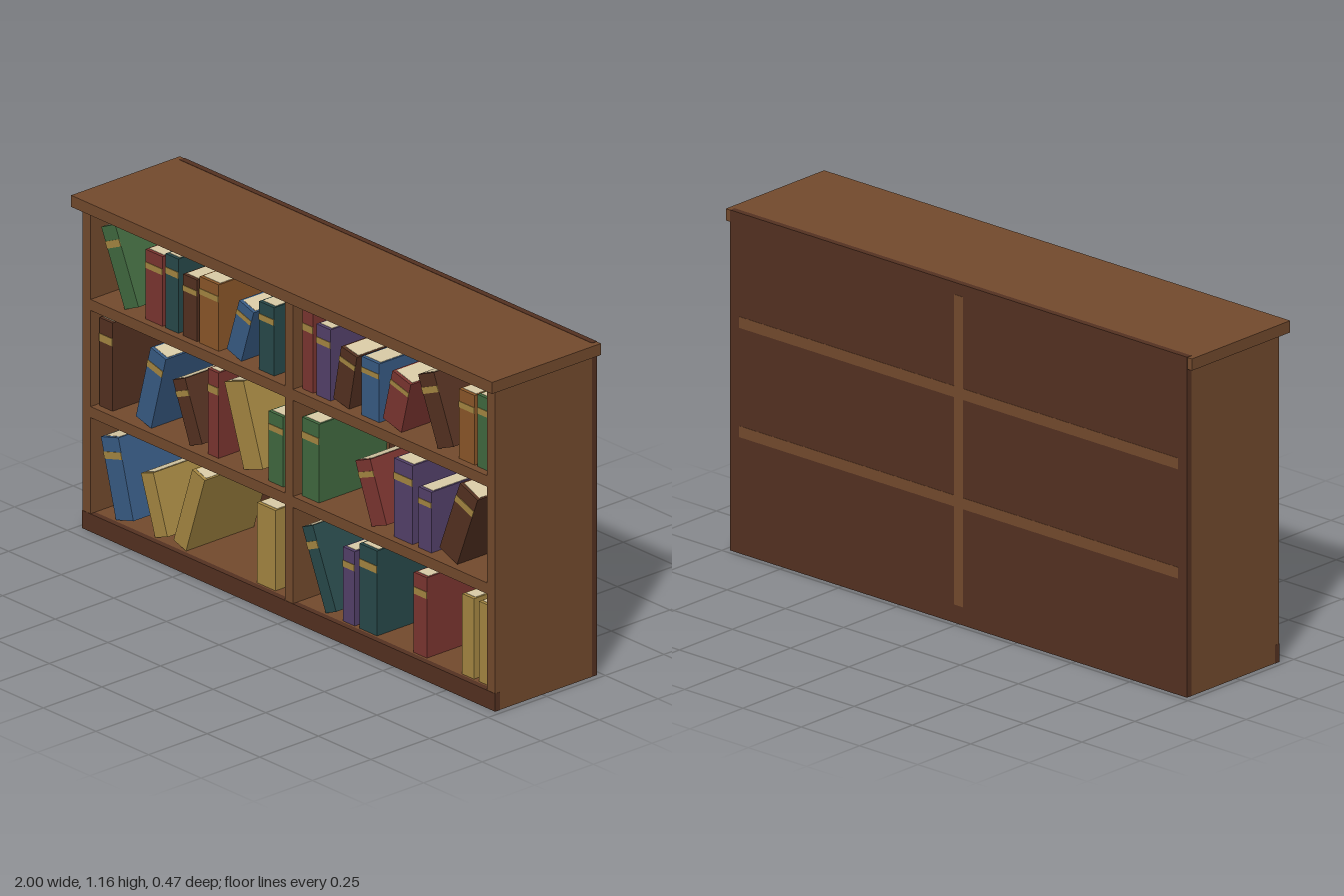
import * as THREE from 'three';

const flat = (name, color) => {
  const m = new THREE.MeshStandardMaterial({ color });
  m.name = name;
  return m;
};

const M = {
  wood: flat('warm wood', 0x734a2d),
  brown: flat('dark wood', 0x543121),
  green: flat('green cloth', 0x41693f),
  red: flat('red cloth', 0x7b3530),
  teal: flat('teal cloth', 0x28494a),
  blue: flat('blue cloth', 0x385b84),
  purple: flat('purple cloth', 0x54416a),
  orange: flat('orange cloth', 0x8b5729),
  tan: flat('tan cloth and gilt', 0xa58742),
  pages: flat('cream paper', 0xd9cba6),
};

// Box given by its extents on each axis
function slab(name, mat, [x0, x1], [y0, y1], [z0, z1]) {
  const mesh = new THREE.Mesh(new THREE.BoxGeometry(x1 - x0, y1 - y0, z1 - z0), mat);
  mesh.name = name;
  mesh.position.set((x0 + x1) / 2, (y0 + y1) / 2, (z0 + z1) / 2);
  return mesh;
}

// A book resting on the floor height, leaning by deg (positive leans to -x)
function makeBook([colour, cx, w, h, deg = 0], floor) {
  const book = new THREE.Group();
  book.name = 'book';
  const front = 0.175, back = -0.115, half = w / 2;
  book.add(
    slab('bookCover', M[colour], [-half, half], [-h / 2, h / 2], [back, front]),
    slab('bookPages', M.pages, [-half + 0.006, half - 0.006],
      [-h / 2 + 0.004, h / 2 + 0.001], [back - 0.001, front - 0.012]),
  );
  if (colour !== 'tan') {
    const y = h * 0.28, t = h * 0.043;
    book.add(slab('spineBand', M.tan, [-half, half], [y - t, y + t], [front, front + 0.002]));
  }
  const a = THREE.MathUtils.degToRad(deg);
  book.rotation.z = a;
  book.position.set(cx, floor + (h * Math.cos(a) + w * Math.abs(Math.sin(a))) / 2, 0);
  return book;
}

// Each row: floor height and books as colour, centre x, width, height, lean
const rows = [
  [0.062, [
    ['blue', -0.846, 0.086, 0.275, 15], ['tan', -0.67, 0.062, 0.212, 18.5],
    ['tan', -0.504, 0.062, 0.287, -18], ['tan', -0.138, 0.088, 0.278],
    ['teal', 0.114, 0.054, 0.286, 23], ['purple', 0.254, 0.056, 0.257],
    ['teal', 0.347, 0.083, 0.294], ['red', 0.594, 0.062, 0.278],
    ['tan', 0.821, 0.056, 0.278], ['tan', 0.904, 0.06, 0.278],
  ]],
  [0.433, [
    ['brown', -0.899, 0.062, 0.305], ['blue', -0.686, 0.075, 0.27, -15],
    ['brown', -0.512, 0.063, 0.218, 22], ['red', -0.39, 0.051, 0.295],
    ['tan', -0.245, 0.095, 0.29, 18.5], ['green', -0.092, 0.07, 0.242],
    ['green', 0.072, 0.081, 0.272], ['red', 0.36, 0.076, 0.218, 21],
    ['purple', 0.513, 0.088, 0.272], ['purple', 0.616, 0.062, 0.21],
    ['brown', 0.776, 0.09, 0.272, -21],
  ]],
  [0.804, [
    ['green', -0.833, 0.072, 0.274, 24], ['red', -0.671, 0.082, 0.241],
    ['teal', -0.586, 0.061, 0.257], ['brown', -0.5, 0.067, 0.213],
    ['orange', -0.409, 0.091, 0.23], ['blue', -0.261, 0.072, 0.196, -17.5],
    ['teal', -0.136, 0.072, 0.236], ['red', 0.059, 0.051, 0.278],
    ['purple', 0.134, 0.067, 0.246], ['brown', 0.237, 0.076, 0.195, -11],
    ['blue', 0.357, 0.084, 0.203], ['red', 0.483, 0.09, 0.185, -14],
    ['brown', 0.668, 0.081, 0.246, 22.5], ['orange', 0.815, 0.075, 0.241],
    ['green', 0.902, 0.072, 0.25],
  ]],
];

export function createModel() {
  const model = new THREE.Group();
  model.name = 'bookcase';

  // Carcass: top, back, plinth, sides and divider
  model.add(
    slab('topBoard', M.wood, [-1, 1], [1.115, 1.155], [-0.231, 0.233]),
    slab('backPanel', M.brown, [-0.98, 0.98], [0, 1.156], [-0.232, -0.211]),
    slab('plinth', M.brown, [-0.981, 0.981], [0, 0.062], [0.182, 0.203]),
    slab('divider', M.wood, [-0.019, 0.019], [0.062, 1.115], [-0.233, 0.202]),
    slab('leftSide', M.wood, [0.942, 0.98], [0, 1.115], [-0.211, 0.202]),
    slab('rightSide', M.wood, [-0.98, -0.942], [0, 1.115], [-0.211, 0.202]),
  );

  // Shelves with their books
  for (const [floor, books] of rows) {
    const base = floor < 0.1;
    model.add(slab(base ? 'bottomShelf' : 'shelf', M.wood, [-0.942, 0.942],
      [floor - 0.038, floor], base ? [-0.211, 0.182] : [-0.233, 0.202]));
    for (const b of books) model.add(makeBook(b, floor));
  }
  return model;
}
